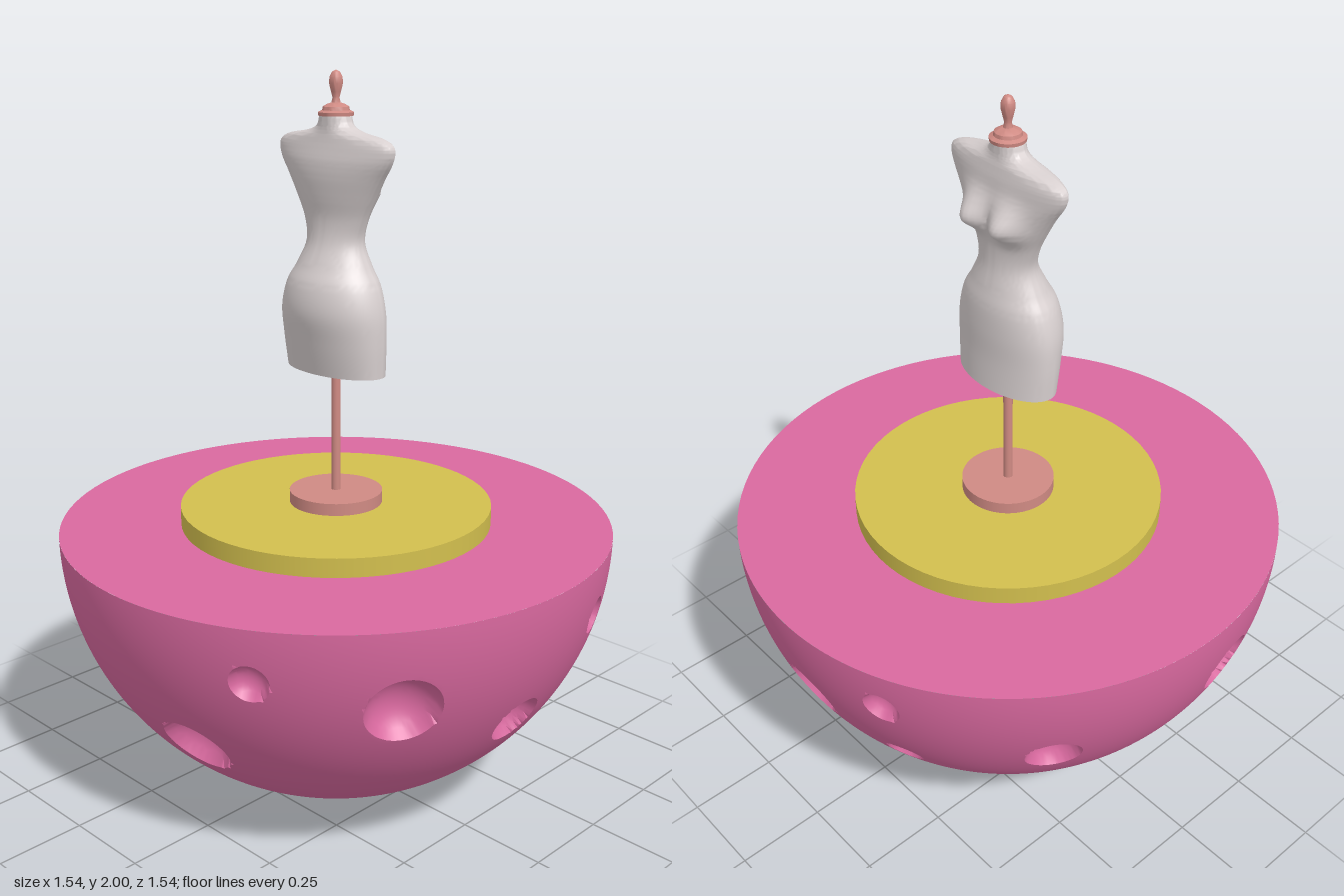
import * as THREE from 'three';
import { mergeVertices, toCreasedNormals } from 'three/addons/utils/BufferGeometryUtils.js';

const mat = (color) => new THREE.MeshStandardMaterial({ color });
const pink = mat(0xd9699f), yellow = mat(0xd2bf4e), copper = mat(0xcf8a83), cloth = mat(0xd8d0d0);
const R = 0.77, TOP = 0.775;

function add(group, name, geometry, material, y = 0) {
  const mesh = new THREE.Mesh(geometry, material);
  mesh.name = name;
  mesh.position.y = y;
  group.add(mesh);
  return mesh;
}

// Hollows in the bowl: x, y, z of the centre and rim radius
const hollows = [
  [-0.4, 0.51, 0.6, 0.053], [0.12, 0.35, 0.626, 0.1], [0.365, 0.627, 0.66, 0.053],
  [0.615, 0.55, 0.39, 0.1], [-0.73, 0.57, 0.135, 0.09], [0.675, 0.405, 0.025, 0.077],
  [0.71, 0.62, -0.255, 0.053], [0.467, 0.626, -0.594, 0.093], [0.285, 0.318, -0.55, 0.076],
  [0.286, 0.06, 0.016, 0.08], [-0.006, 0.505, -0.72, 0.087], [-0.294, 0.65, -0.7, 0.053],
  [-0.603, 0.488, -0.384, 0.077], [-0.264, 0.389, -0.611, 0.053], [-0.363, 0.14, -0.246, 0.08],
];

// Half sphere with round bowls pressed into it
function crateredBowl() {
  const cols = 400, rows = 110, cell = Math.PI / 2 / rows;
  const geo = new THREE.SphereGeometry(R, cols, rows, 0, Math.PI * 2, Math.PI / 2, Math.PI / 2);
  const pits = hollows.map(([x, y, z, r]) => {
    const rim = Math.asin(r / R), h = 0.364 * r;
    return { dir: new THREE.Vector3(x, y - TOP, z).normalize(), rim, d: R * Math.cos(rim) + h, rho: Math.hypot(r, h) };
  });
  const pos = geo.attributes.position, v = new THREE.Vector3(), side = new THREE.Vector3();
  for (let i = 0; i < pos.count; i++) {
    v.fromBufferAttribute(pos, i).normalize();
    let radius = R;
    for (const { dir, rim, d, rho } of pits) {
      const angle = v.angleTo(dir);
      if (angle > rim + cell) continue;
      if (Math.abs(angle - rim) < cell * 0.55) {
        // pull close vertices onto the rim for a clean edge
        side.copy(v).addScaledVector(dir, -v.dot(dir)).normalize();
        v.copy(dir).multiplyScalar(Math.cos(rim)).addScaledVector(side, Math.sin(rim));
      } else if (angle < rim) {
        radius = d * Math.cos(angle) - Math.sqrt(rho * rho - (d * Math.sin(angle)) ** 2);
      }
    }
    pos.setXYZ(i, v.x * radius, v.y * radius, v.z * radius);
  }
  geo.deleteAttribute('normal');
  geo.deleteAttribute('uv');
  return toCreasedNormals(mergeVertices(geo, 1e-5), 0.6);
}

// Torso sections: height, half width, chest side depth, back side depth
const sections = [
  [1.21, 0.165, 0.09, 0.088], [1.3, 0.169, 0.086, 0.108], [1.38, 0.166, 0.086, 0.124],
  [1.45, 0.147, 0.082, 0.115], [1.5, 0.117, 0.071, 0.09], [1.56, 0.092, 0.058, 0.062],
  [1.62, 0.106, 0.056, 0.052], [1.68, 0.136, 0.064, 0.058], [1.73, 0.166, 0.062, 0.062],
  [1.77, 0.194, 0.054, 0.06], [1.8, 0.205, 0.05, 0.053], [1.82, 0.197, 0.046, 0.048],
  [1.834, 0.165, 0.043, 0.045], [1.845, 0.1, 0.04, 0.043], [1.86, 0.058, 0.038, 0.042],
  [1.888, 0.044, 0.037, 0.042],
];

function torsoGeometry() {
  const widths = new THREE.CatmullRomCurve3(sections.map(([y, w]) => new THREE.Vector3(w, y, 0)), false, 'catmullrom', 0.5);
  const depths = new THREE.CatmullRomCurve3(sections.map(([y, , f, b]) => new THREE.Vector3(f, y, b)), false, 'catmullrom', 0.5);
  const rows = 90, n = 72, pts = [], idx = [];
  for (let j = 0; j <= rows; j++) {
    const p = widths.getPoint(j / rows), q = depths.getPoint(j / rows);
    for (let i = 0; i < n; i++) {
      const a = (i / n) * Math.PI * 2, s = Math.sin(a), x = p.x * Math.cos(a);
      let z = s > 0 ? q.z * s : q.x * s;
      // bust on the chest side
      if (s < 0) {
        const dy = (p.y - 1.688) / (p.y < 1.688 ? 0.034 : 0.05), dx = (Math.abs(x) - 0.058) / 0.042;
        z -= 0.046 * Math.exp(-dy * dy - dx * dx) * Math.min(1, -s * 1.5);
      }
      pts.push(x, p.y, z);
      if (j < rows) {
        const k = j * n + i, m = j * n + ((i + 1) % n);
        idx.push(k, k + n, m, m, k + n, m + n);
      }
    }
  }
  // flat ends
  const low = pts.length / 3, high = low + 1, last = rows * n;
  pts.push(0, sections[0][0], 0, 0, sections[sections.length - 1][0], 0);
  for (let i = 0; i < n; i++) {
    const m = (i + 1) % n;
    idx.push(low, i, m, high, last + m, last + i);
  }
  const geo = new THREE.BufferGeometry();
  geo.setAttribute('position', new THREE.Float32BufferAttribute(pts, 3));
  geo.setIndex(idx);
  return toCreasedNormals(geo, 1);
}

export function createModel() {
  const model = new THREE.Group();

  // Half sphere with its flat lid
  add(model, 'crateredBowl', crateredBowl(), pink, TOP);
  add(model, 'bowlLid', new THREE.CircleGeometry(R, 100).rotateX(-Math.PI / 2), pink, TOP);

  // Platform and stand
  add(model, 'platform', new THREE.CylinderGeometry(0.435, 0.435, 0.055, 64), yellow, 0.8);
  add(model, 'standBase', new THREE.CylinderGeometry(0.13, 0.13, 0.034, 48), copper, 0.845);
  add(model, 'standPole', new THREE.CylinderGeometry(0.013, 0.013, 0.4, 24), copper, 1.03);

  // Dress form
  add(model, 'torso', torsoGeometry(), cloth);

  // Neck cap and finial
  const profile = [
    [0, 1.885], [0.046, 1.885], [0.047, 1.894], [0.036, 1.899], [0.034, 1.908], [0.024, 1.914],
    [0.012, 1.918], [0.009, 1.93], [0.013, 1.945], [0.018, 1.966], [0.017, 1.982], [0.01, 1.995], [0, 2],
  ].map(([r, y]) => new THREE.Vector2(r, y));
  add(model, 'neckFinial', toCreasedNormals(new THREE.LatheGeometry(profile, 32), 0.7), copper);

  return model;
}
